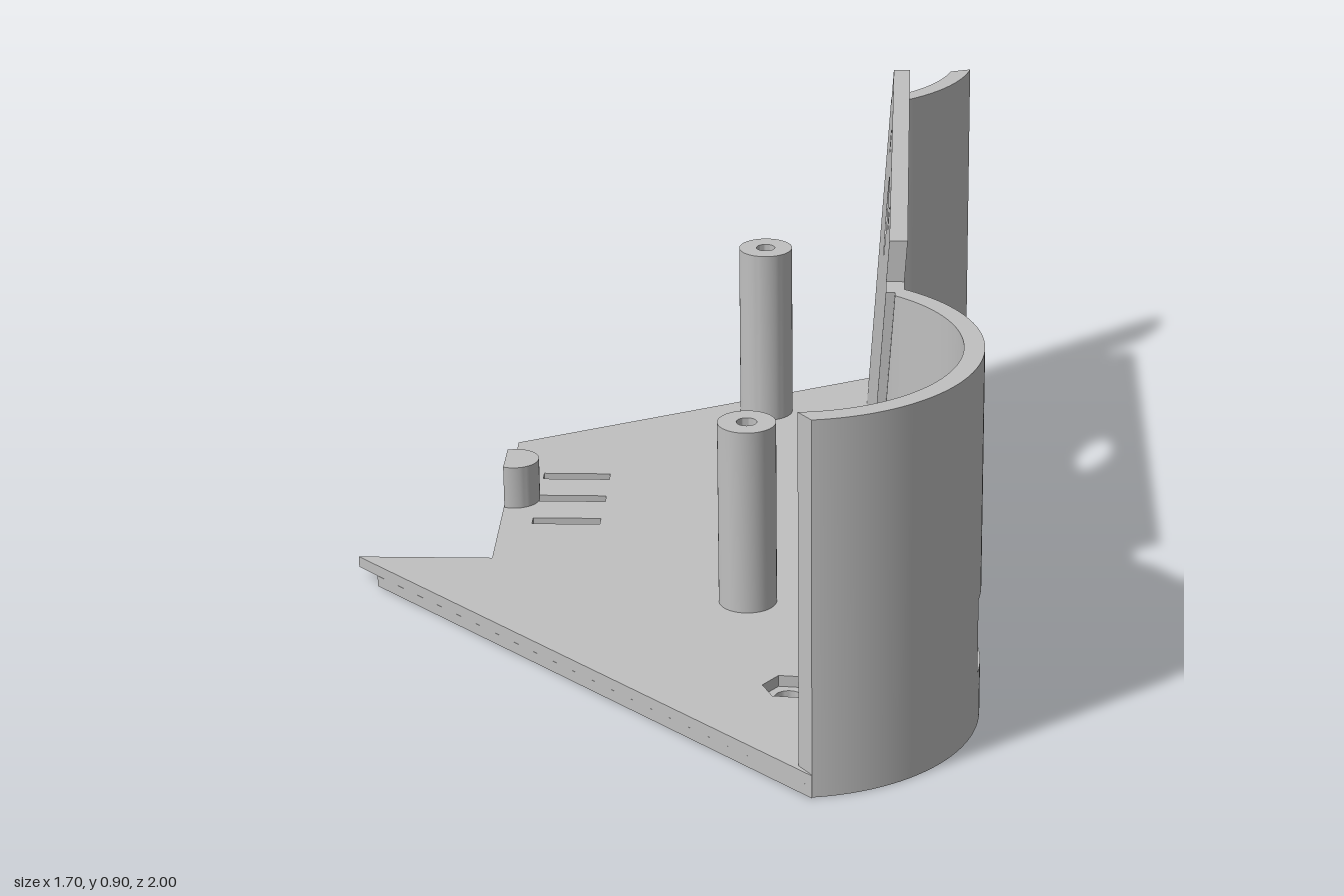
import * as THREE from 'three';
import { toCreasedNormals } from 'three/addons/utils/BufferGeometryUtils.js';

const plastic = new THREE.MeshStandardMaterial({ color: 0xc0c0c0 });
plastic.name = 'grey plastic';

// Plan axes (x, z): D runs along the leaning panel, N points out through it.
const D = [0.587, 0.81], N = [0.81, -0.587];
const PHI = Math.atan2(N[1], N[0]);
const LEAN = 0.07, PANEL_IN = 0.086, PANEL_OUT = 0.124;
const FRONT_C = [0.455, 0.715], BACK_C = [-0.67, -0.83];
const RO = 0.395, RI = 0.353, WALL_H = 0.81, FLOOR_H = 0.05;
const rad = THREE.MathUtils.degToRad;

const poly = (pts) => new THREE.Shape(pts.map(([x, z]) => new THREE.Vector2(x, z)));
const disc = (x, z, r) => new THREE.Shape().absarc(x, z, r, 0, Math.PI * 2);
const arcPts = ([cx, cz], r, a0, a1, n = 40) => Array.from({ length: n + 1 }, (_, i) => {
  const a = a0 + (a1 - a0) * i / n;
  return [cx + r * Math.cos(a), cz + r * Math.sin(a)];
});

// Extrude a plan shape drawn in (x, z) upward from y0 to y1.
function extrudeUp(shape, y0, y1, holes = []) {
  shape.holes.push(...holes);
  const g = new THREE.ExtrudeGeometry(shape, { depth: y1 - y0, bevelEnabled: false, curveSegments: 24 });
  return g.rotateX(Math.PI / 2).translate(0, y1, 0);
}

export function createModel() {
  const model = new THREE.Group();
  model.name = 'enclosureHalf';
  const add = (name, geometry) => {
    const m = new THREE.Mesh(toCreasedNormals(geometry, 0.5), plastic);
    m.name = name;
    model.add(m);
  };

  // Floor in two layers; the lower one is stepped in along the left edges
  const slot = ([x, z]) => poly([[-1, -1], [1, -1], [1, 1], [-1, 1]].map(([a, b]) => [
    x + N[0] * a * 0.077 + D[0] * b * 0.016, z + N[1] * a * 0.077 + D[1] * b * 0.016]));
  const slots = () => [[-0.608, 0.15], [-0.533, 0.253], [-0.46, 0.358]].map(slot);
  const outline = (left) => poly([
    [-0.31, -1], ...left, [0.735, 1],
    ...arcPts(FRONT_C, 0.38, rad(45), rad(-100.8)),
    ...arcPts(BACK_C, 0.38, rad(29), rad(-24), 16)]);
  const hex = poly(arcPts(FRONT_C, 0.055, Math.PI / 2, Math.PI * 13 / 6, 5));
  add('floorUpper', extrudeUp(outline([[-0.85, 0.08], [-0.46, 0.61], [-0.7, 0.785]]),
    0.025, FLOOR_H, [...slots(), hex]));
  add('floorLower', extrudeUp(outline([[-0.82, 0.02], [-0.393, 0.617], [-0.635, 0.795]]),
    0, 0.025, [...slots(), disc(...FRONT_C, 0.03)]));

  // Curved wall piece; the end on the given side is trimmed to the leaning panel
  function curvedWall(name, c, outer, inner, y0, y1, side = 0) {
    const g = extrudeUp(poly([
      ...arcPts(c, RO, outer[0], outer[1]), ...arcPts(c, RI, inner[1], inner[0])]), y0, y1);
    const p = g.attributes.position;
    for (let i = 0; side && i < p.count; i++) {
      const dx = p.getX(i) - c[0], dz = p.getZ(i) - c[1], r = Math.hypot(dx, dz);
      const off = (PANEL_IN + PANEL_OUT) / 2 + LEAN * p.getY(i) - c[0] * N[0] - c[1] * N[1];
      const limit = Math.acos(off / r);
      if ((Math.atan2(dz, dx) - PHI) * side > limit) {
        const a = PHI + side * limit;
        p.setX(i, c[0] + r * Math.cos(a));
        p.setZ(i, c[1] + r * Math.sin(a));
      }
    }
    add(name, g);
  }
  // Front wall, with a rectangular window between its two long pieces
  const wo = Math.asin(0.07 / RO), wi = Math.asin(0.07 / RI);
  const start = rad(-104), win = [[PHI - wo, PHI + wo], [PHI - wi, PHI + wi]];
  curvedWall('frontWallNearPanel', FRONT_C, [start, PHI - wo], [start, PHI - wi], 0, WALL_H, -1);
  curvedWall('wallBelowWindow', FRONT_C, ...win, 0, 0.12);
  curvedWall('wallAboveWindow', FRONT_C, ...win, 0.285, WALL_H);
  curvedWall('frontWallEnd', FRONT_C, [PHI + wo, rad(45.5)], [PHI + wi, rad(49)], 0, WALL_H);
  curvedWall('backWall', BACK_C, [rad(-25.3), rad(32)], [rad(-21), rad(32)], 0, WALL_H, 1);

  // Leaning panel with raised tab, one large and two small holes
  const panel = poly([[-0.735, 0], [0.523, 0], [0.545, WALL_H], [0.482, WALL_H],
    [0.482, 0.9], [-0.697, 0.9], [-0.697, WALL_H], [-0.75, WALL_H]]);
  panel.holes.push(disc(-0.11, 0.745, 0.09), disc(-0.378, 0.83, 0.027), disc(0.158, 0.83, 0.027));
  const panelGeo = new THREE.ExtrudeGeometry(panel,
    { depth: PANEL_OUT - PANEL_IN, bevelEnabled: false, curveSegments: 24 });
  panelGeo.applyMatrix4(new THREE.Matrix4().makeBasis(
    new THREE.Vector3(D[0], 0, D[1]),
    new THREE.Vector3(N[0] * LEAN, 1, N[1] * LEAN),
    new THREE.Vector3(-N[0], 0, -N[1])
  ).setPosition(N[0] * PANEL_OUT, 0, N[1] * PANEL_OUT));
  add('leaningPanel', panelGeo);

  // Tall screw posts
  for (const [x, z] of [[-0.505, -0.435], [0.13, 0.44]])
    add('screwPost', extrudeUp(disc(x, z, 0.063), FLOOR_H, 0.47, [disc(x, z, 0.022)]));

  // Short half-round stud on the left edge
  const cut = Math.acos(-0.022 / 0.055);
  add('edgeStud', extrudeUp(poly(arcPts([-0.635, 0.332], 0.055, PHI - cut, PHI + cut, 28)), FLOOR_H, 0.15));

  // Holder against the front wall: two drilled posts and a low bridge
  const rect = (z0, z1) => poly([[0.62, z0], [0.8, z0], [0.8, z1], [0.62, z1]]);
  for (const [z0, z1, hz] of [[0.58, 0.655, 0.628], [0.78, 0.86, 0.808]])
    add('holderPost', extrudeUp(rect(z0, z1), FLOOR_H, 0.52, [disc(0.685, hz, 0.026)]));
  add('holderBridge', extrudeUp(rect(0.655, 0.78), FLOOR_H, 0.12));

  return model;
}
